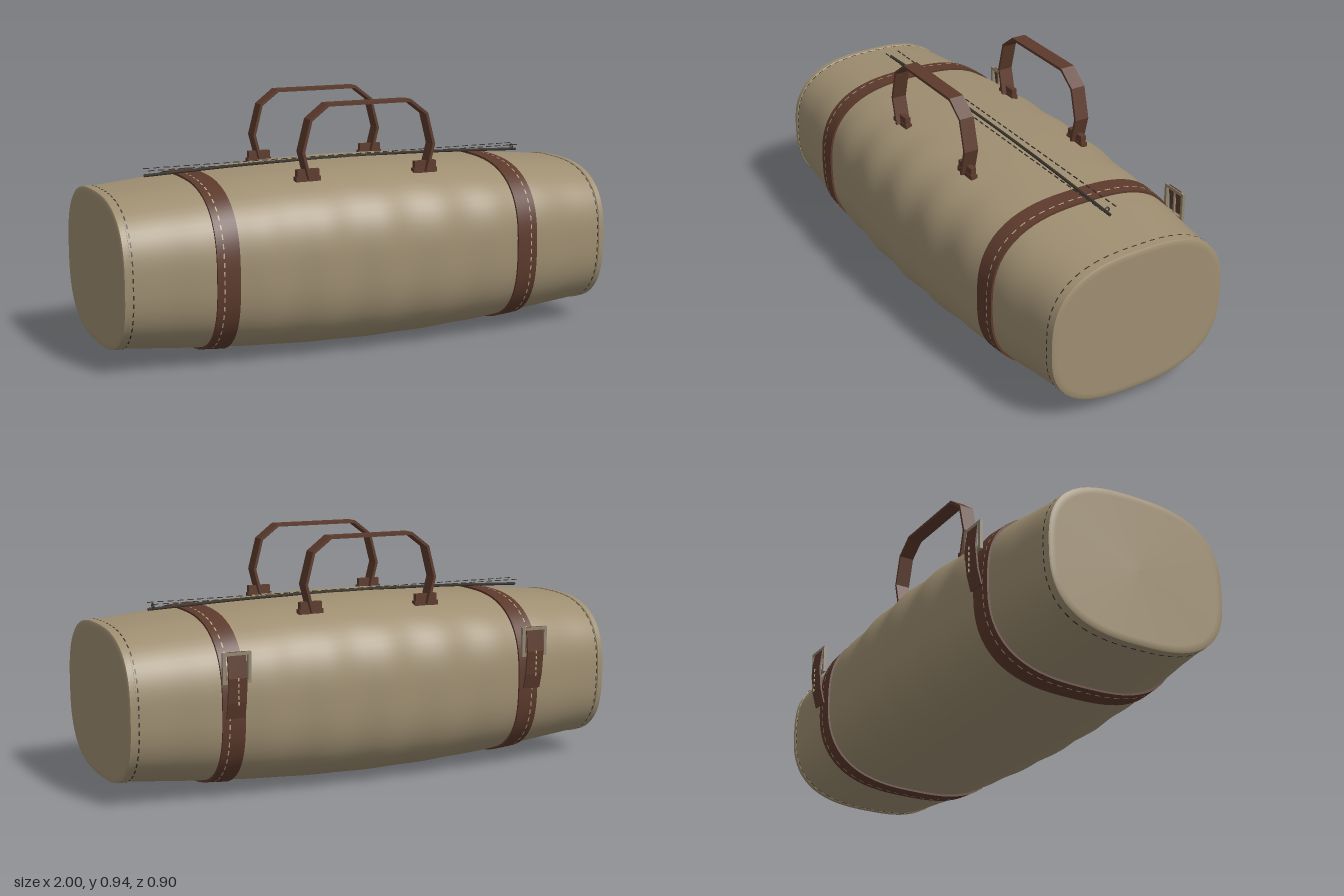
import * as THREE from 'three';
import { toCreasedNormals, mergeGeometries } from 'three/addons/utils/BufferGeometryUtils.js';

const mat = (name, color, side = THREE.FrontSide) => {
  const m = new THREE.MeshStandardMaterial({ color, side });
  m.name = name;
  return m;
};

// Point on the bag skin: x along the bag, t around it from the top towards the front
function skin(x, t, off = 0, scale = 1) {
  const n = 2.75, bulge = Math.cos(x * Math.PI / 2);
  const s = Math.sin(t), c = Math.cos(t);
  const r = (Math.abs(s) ** n + Math.abs(c) ** n) ** (-1 / n);
  const wave = 0.006 * Math.cos(x * 26) * bulge;
  const a = 0.363 + 0.07 * bulge + wave + off, b = 0.285 + 0.06 * bulge + off;
  return [x, 0.35 + c * r * b * scale, 0.01 + s * r * a * scale];
}

// Surface through rings [x, offset, scale], over the arc t0..t1
function loft(rings, segs = 80, t0 = 0, t1 = Math.PI * 2) {
  const pos = [], idx = [], w = segs + 1;
  rings.forEach(([x, off, scale]) => {
    for (let j = 0; j <= segs; j++) pos.push(...skin(x, t0 + (t1 - t0) * j / segs, off, scale));
  });
  for (let i = 0; i < rings.length - 1; i++) {
    for (let j = 0; j < segs; j++) {
      const p = i * w + j;
      idx.push(p, p + 1, p + w, p + 1, p + w + 1, p + w);
    }
  }
  const g = new THREE.BufferGeometry();
  g.setAttribute('position', new THREE.Float32BufferAttribute(pos, 3));
  g.setIndex(idx);
  return toCreasedNormals(g, 0.6);
}

// Raised band around the bag
const band = (x0, x1, off) => loft([[x0, -0.004, 1], [x0, off, 1], [x1, off, 1], [x1, -0.004, 1]]);

// Row of stitches around the bag
function stitchRing(x, off, count) {
  const parts = [], step = Math.PI * 2 / count;
  for (let i = 0; i < count; i++) {
    parts.push(loft([[x - 0.0025, off, 1], [x + 0.0025, off, 1]], 2, i * step, (i + 0.55) * step));
  }
  return mergeGeometries(parts);
}

export function createModel() {
  const bag = new THREE.Group();
  bag.name = 'duffelBag';
  const canvas = mat('canvas', 0x9e8e71);
  const leather = mat('leather', 0x5c3a2c);
  const dark = mat('darkZipper', 0x39342c, THREE.DoubleSide);
  const thread = mat('thread', 0xb5a384, THREE.DoubleSide);
  const metal = mat('agedMetal', 0x918670);

  const add = (name, geo, material, x = 0, y = 0, z = 0, parent = bag) => {
    const m = new THREE.Mesh(geo, material);
    m.name = name;
    m.position.set(x, y, z);
    parent.add(m);
    return m;
  };

  // Canvas body with flat ends
  const rings = [[-0.995, 0, 0]];
  for (let i = 0; i <= 80; i++) rings.push([-0.995 + 1.99 * i / 80, 0, 1]);
  rings.push([0.995, 0, 0]);
  add('body', loft(rings), canvas);

  // End piping, straps and their stitching
  for (const s of [-1, 1]) {
    const e = s * 0.985, c = s * 0.62;
    const rim = [[e - 0.015, -0.003, 1], [e - 0.011, 0.004, 1], [e + 0.011, 0.004, 1], [e + 0.015, -0.003, 1]];
    rim.push([e + 0.015, -0.02, 1]);
    if (s < 0) rim.splice(0, 5, [-1, -0.02, 1], [-1, -0.003, 1], [-0.996, 0.004, 1], [-0.974, 0.004, 1], [-0.97, -0.003, 1]);
    add('endPiping', loft(rim), canvas);
    add('endStitching', stitchRing(s * 0.966, 0.003, 60), dark);
    add('strap', band(c - 0.043, c + 0.043, 0.008), leather);
    add('strapStitching', stitchRing(s * 0.637, 0.0095, 64), thread);
  }

  // Zipper along the top
  const zip = new THREE.CatmullRomCurve3(
    [-0.8, -0.4, 0, 0.4, 0.8].map(x => new THREE.Vector3(x, 0.698 - 0.031 * x * x, 0.005)));
  add('zipper', new THREE.TubeGeometry(zip, 32, 0.006, 6), dark);
  add('zipperPull', new THREE.TorusGeometry(0.009, 0.003, 6, 12), dark, 0.78, 0.69, 0.005).rotation.y = Math.PI / 2;
  const dashes = [];
  for (const z of [-0.025, 0.032]) {
    for (let i = 0; i < 40; i++) {
      dashes.push(new THREE.BoxGeometry(0.024, 0.003, 0.004).translate(-0.78 + 0.04 * i, 0.7, z));
    }
  }
  add('zipperStitching', mergeGeometries(dashes), dark);

  // Carry handles: flat bent straps with tabs at their feet
  const mirror = pts => [...pts, ...pts.map(([x, y]) => [-x, y]).reverse()];
  const outer = mirror([[-0.25, 0.665], [-0.277, 0.77], [-0.245, 0.892], [-0.172, 0.948]]);
  const inner = mirror([[-0.239, 0.665], [-0.266, 0.77], [-0.236, 0.886], [-0.168, 0.937]]);
  const shape = new THREE.Shape([...outer, ...inner.reverse()].map(p => new THREE.Vector2(...p)));
  for (const z of [-0.235, 0.258]) {
    const handle = new THREE.Group();
    handle.name = z > 0 ? 'frontHandle' : 'backHandle';
    handle.position.z = z;
    bag.add(handle);
    add('handleStrap', new THREE.ExtrudeGeometry(shape, { depth: 0.058, bevelEnabled: false }), leather, 0, 0, -0.029, handle);
    for (const s of [-1, 1]) {
      add('handleTab', new THREE.BoxGeometry(0.09, 0.046, 0.022), leather, s * 0.245, 0.681, 0, handle);
      add('tabFoot', new THREE.BoxGeometry(0.1, 0.018, 0.026), leather, s * 0.245, 0.668, 0, handle);
    }
  }

  // Buckles and loose strap ends on the back
  const frame = new THREE.Shape();
  frame.moveTo(-0.055, -0.057).lineTo(0.055, -0.057).lineTo(0.055, 0.057).lineTo(-0.055, 0.057).closePath();
  const hole = new THREE.Path();
  hole.moveTo(-0.043, -0.045).lineTo(-0.043, 0.045).lineTo(0.043, 0.045).lineTo(0.043, -0.045).closePath();
  frame.holes.push(hole);
  const tail = new THREE.Shape([
    [-0.432, 0.575], [-0.443, 0.48], [-0.434, 0.39], [-0.418, 0.33],
    [-0.412, 0.33], [-0.427, 0.39], [-0.436, 0.48], [-0.426, 0.575],
  ].map(p => new THREE.Vector2(-p[0], p[1])));
  for (const s of [-1, 1]) {
    const x = s * 0.622;
    add('buckleFrame', new THREE.ExtrudeGeometry(frame, { depth: 0.012, bevelEnabled: false }), metal, x, 0.517, -0.434);
    add('bucklePin', new THREE.BoxGeometry(0.008, 0.1, 0.008), metal, x, 0.517, -0.428);
    const end = add('strapEnd', new THREE.ExtrudeGeometry(tail, { depth: 0.072, bevelEnabled: false }), leather, x - 0.036, 0, 0);
    end.rotation.y = Math.PI / 2;
    for (let i = 0; i < 5; i++) add('strapEndStitch', new THREE.BoxGeometry(0.005, 0.012, 0.003), thread, x, 0.39 + i * 0.022, -0.447);
  }
  return bag;
}
